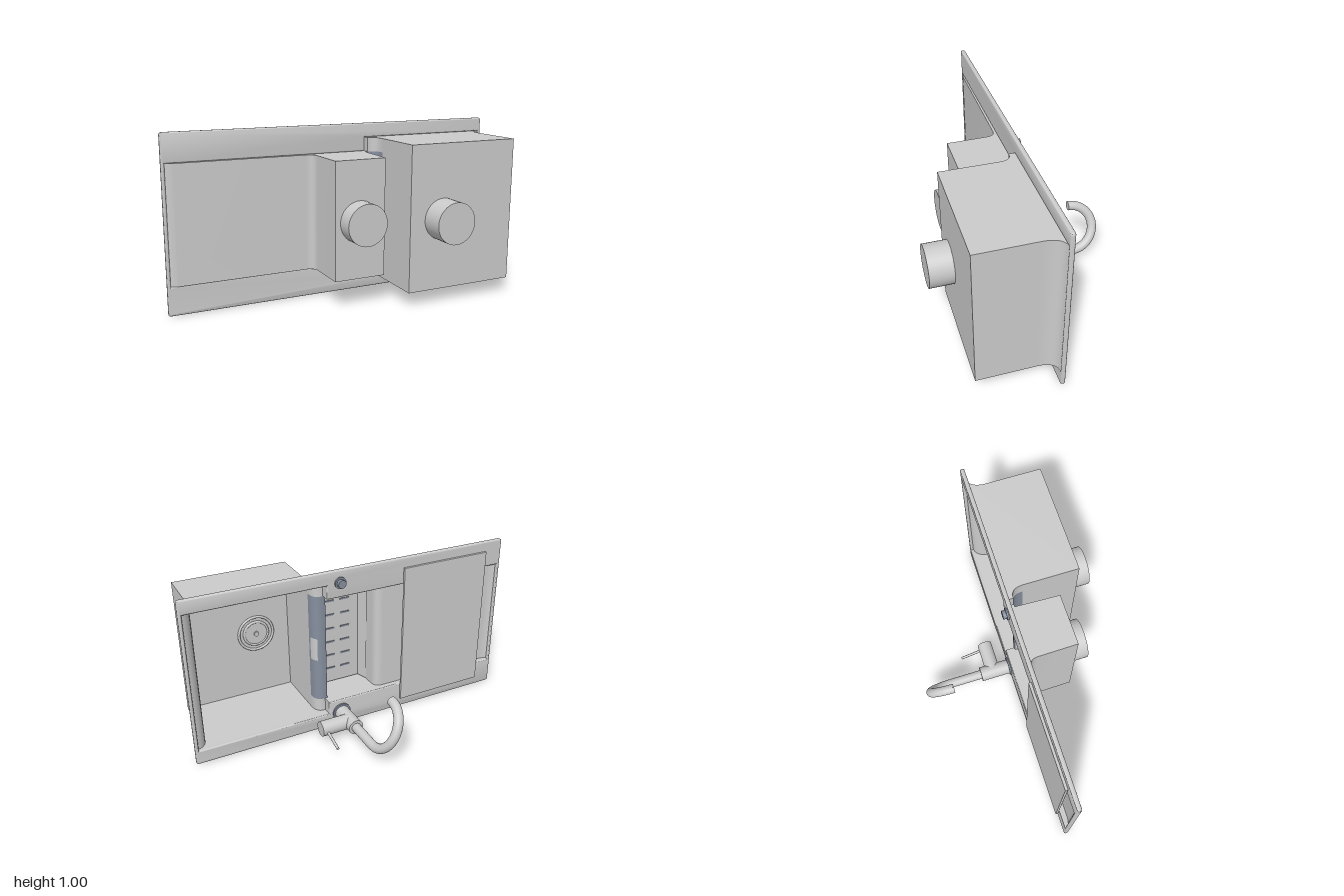
import * as THREE from 'three';
import { toCreasedNormals } from 'three/addons/utils/BufferGeometryUtils.js';

const steel = new THREE.MeshStandardMaterial({ color: 0xcccccc, side: THREE.DoubleSide });
const slate = new THREE.MeshStandardMaterial({ color: 0x87909f, side: THREE.DoubleSide });

export function createModel() {
  const root = new THREE.Group();

  function add(name, geometry, material = steel, parent = root) {
    const mesh = new THREE.Mesh(geometry, material);
    mesh.name = name;
    parent.add(mesh);
    return mesh;
  }

  // Cylinder along z between two depths
  function rod(name, x, y, z0, z1, r, material, parent) {
    const g = new THREE.CylinderGeometry(r, r, Math.abs(z1 - z0), 40).rotateX(Math.PI / 2);
    g.translate(x, y, (z0 + z1) / 2);
    return add(name, g, material, parent);
  }

  // Sheet that follows an [x, z] profile between two heights
  function sheet(profile, y0, y1) {
    const n = profile.length;
    const g = new THREE.PlaneGeometry(1, 1, n - 1, 1);
    const p = g.attributes.position;
    for (let i = 0; i < n; i++) {
      p.setXYZ(i, profile[i][0], y1, profile[i][1]);
      p.setXYZ(n + i, profile[i][0], y0, profile[i][1]);
    }
    return toCreasedNormals(g, 0.6);
  }

  // Flat wall closing a profile at height y
  function wall(profile, y) {
    const shape = new THREE.Shape(profile.map(([x, z]) => new THREE.Vector2(x, z)));
    return new THREE.ShapeGeometry(shape).rotateX(Math.PI / 2).translate(0, y, 0);
  }

  // Rounded bend from a to b around a corner c
  function bend(a, c, b) {
    const v = (q) => new THREE.Vector2(q[0], q[1]);
    return new THREE.QuadraticBezierCurve(v(a), v(c), v(b)).getPoints(8).map((q) => [q.x, q.y]);
  }

  const TOP = -0.015;
  const LOW = 0.165, HIGH = 0.833;        // drainer and small bowl heights
  const BIG_LOW = 0.085, BIG_HIGH = 0.913; // large bowl heights

  // Rim plate with one stepped opening
  const r = 0.015, H = 0.995;
  const plate = new THREE.Shape();
  plate.moveTo(-1 + r, 0).lineTo(1 - r, 0).quadraticCurveTo(1, 0, 1, r);
  plate.lineTo(1, H - r).quadraticCurveTo(1, H, 1 - r, H);
  plate.lineTo(-1 + r, H).quadraticCurveTo(-1, H, -1, H - r);
  plate.lineTo(-1, r).quadraticCurveTo(-1, 0, -1 + r, 0);
  plate.holes.push(new THREE.Path([
    [-0.98, LOW], [-0.98, HIGH], [0.18, HIGH], [0.18, BIG_HIGH],
    [0.98, BIG_HIGH], [0.98, BIG_LOW], [0.18, BIG_LOW], [0.18, LOW],
  ].map(([x, y]) => new THREE.Vector2(x, y))));
  const plateGeo = new THREE.ExtrudeGeometry(plate, {
    depth: 0.009, bevelThickness: 0.008, bevelSize: 0.008, bevelOffset: -0.008, bevelSegments: 4,
  }).translate(0, 0, -0.012);
  add('rimPlate', toCreasedNormals(plateGeo, 0.6));

  // Drainer running into the small bowl
  const smallProfile = [
    [-0.98, TOP],
    ...bend([-0.98, -0.005], [-0.965, 0.01], [-0.93, 0.012]),
    ...bend([-0.2, 0.017], [-0.15, 0.017], [-0.15, 0.07]),
    [-0.147, 0.3], [0.155, 0.3], [0.165, 0.04],
  ];
  add('drainerAndSmallBowl', sheet(smallProfile, LOW, HIGH));
  const smallEnd = [...smallProfile, [0.18, 0.04], [0.18, TOP]];
  for (const y of [LOW, HIGH]) add('smallBowlEnd', wall(smallEnd, y));

  // Large bowl with flared sides
  const flare = bend([0.18, 0.038], [0.24, 0.035], [0.24, 0.11]);
  const bigProfile = [
    [0.24, 0.11], [0.24, 0.435], [0.915, 0.435],
    ...bend([0.915, 0.11], [0.915, 0.012], [0.98, 0.0]), [0.98, TOP],
  ];
  add('largeBowl', sheet(bigProfile, BIG_LOW, BIG_HIGH));
  const bigEnd = [[0.18, TOP], ...flare, ...bigProfile.slice(1)];
  for (const y of [BIG_LOW, BIG_HIGH]) add('largeBowlEnd', wall(bigEnd, y));
  add('lowerFlare', sheet([[0.18, TOP], ...flare], BIG_LOW, LOW));
  add('upperFlare', sheet([[0.18, TOP], ...flare], HIGH, BIG_HIGH));

  // Lowered divider between the bowls, with its overflow
  add('divider', sheet([[0.165, 0.04], ...flare], LOW, HIGH), slate);
  const overflow = flare.slice(3, 8);
  add('overflowUnderside', sheet(overflow.map(([x, z]) => [x - 0.002, z + 0.003]), 0.42, 0.58));
  add('overflowFace', sheet(overflow.map(([x, z]) => [x + 0.002, z - 0.003]), 0.43, 0.57));

  // Waste outlets and strainers
  for (const [x, z0, z1] of [[0, 0.3, 0.4], [0.45, 0.435, 0.57]]) {
    const drain = new THREE.Group();
    drain.name = 'drain';
    root.add(drain);
    rod('wasteOutlet', x, 0.49, z0 + 0.001, z1, 0.118, steel, drain);
    rod('strainerPlate', x, 0.49, z0 - 0.008, z0, 0.07, steel, drain);
    rod('strainerPin', x, 0.49, z0 - 0.018, z0, 0.015, steel, drain);
    for (const radius of [0.108, 0.075]) {
      add('strainerRing', new THREE.TorusGeometry(radius, 0.008, 8, 40).translate(x, 0.49, z0 - 0.004), steel, drain);
    }
  }

  // Slotted tray resting in the small bowl
  const tray = [[-0.143, 0.12], [-0.12, 0.19], [0.13, 0.19], [0.152, 0.1]];
  add('tray', sheet(tray, LOW + 0.01, HIGH - 0.01));
  for (let i = 0; i < 6; i++) {
    for (const x of [-0.03, 0.07]) {
      add('traySlot', new THREE.BoxGeometry(0.06, 0.01, 0.006).translate(x, 0.27 + i * 0.09, 0.188), slate);
    }
  }

  // Cutting board over the drainer
  const board = new THREE.Shape();
  board.moveTo(-0.88, 0.06).lineTo(-0.305, 0.06).lineTo(-0.305, 0.935).lineTo(-0.88, 0.935);
  add('cuttingBoard', new THREE.ExtrudeGeometry(board, {
    depth: 0.009, bevelThickness: 0.004, bevelSize: 0.004, bevelOffset: -0.004, bevelSegments: 2,
  }).translate(0, 0, -0.033));

  // Tap: collar, body, bent spout
  const tap = new THREE.Group();
  tap.name = 'tap';
  root.add(tap);
  const X = 0.1, Y = 0.08;
  rod('collar', X, Y, -0.018, -0.03, 0.057, slate, tap);
  rod('body', X, Y, -0.03, -0.21, 0.045, steel, tap);
  const path = [new THREE.Vector3(X, Y, -0.2), new THREE.Vector3(X, Y, -0.3)];
  for (let i = 0; i <= 12; i++) {
    const a = (Math.PI * i) / 12, t = (1 - Math.cos(a)) / 2;
    path.push(new THREE.Vector3(X - 0.12 * t, Y + 0.255 * t, -0.405 - 0.14 * Math.sin(a)));
  }
  add('spout', new THREE.TubeGeometry(new THREE.CatmullRomCurve3(path), 80, 0.028, 24), steel, tap);
  const end = path[path.length - 1];
  rod('spoutTip', end.x, end.y, end.z - 0.003, end.z - 0.001 + 0.004, 0.0275, steel, tap);

  // Side control and lever
  add('control', new THREE.CylinderGeometry(0.045, 0.045, 0.19, 40).rotateZ(Math.PI / 2).translate(0.195, Y, -0.13), steel, tap);
  const lever = new THREE.LineCurve3(new THREE.Vector3(0.26, 0.075, -0.15), new THREE.Vector3(0.26, 0.035, -0.295));
  add('lever', new THREE.TubeGeometry(lever, 1, 0.008, 12), steel, tap);

  // Waste control knob
  rod('knobBase', X, 0.92, -0.018, -0.03, 0.034, slate);
  rod('knob', X, 0.92, -0.03, -0.05, 0.024, slate);

  return root;
}
